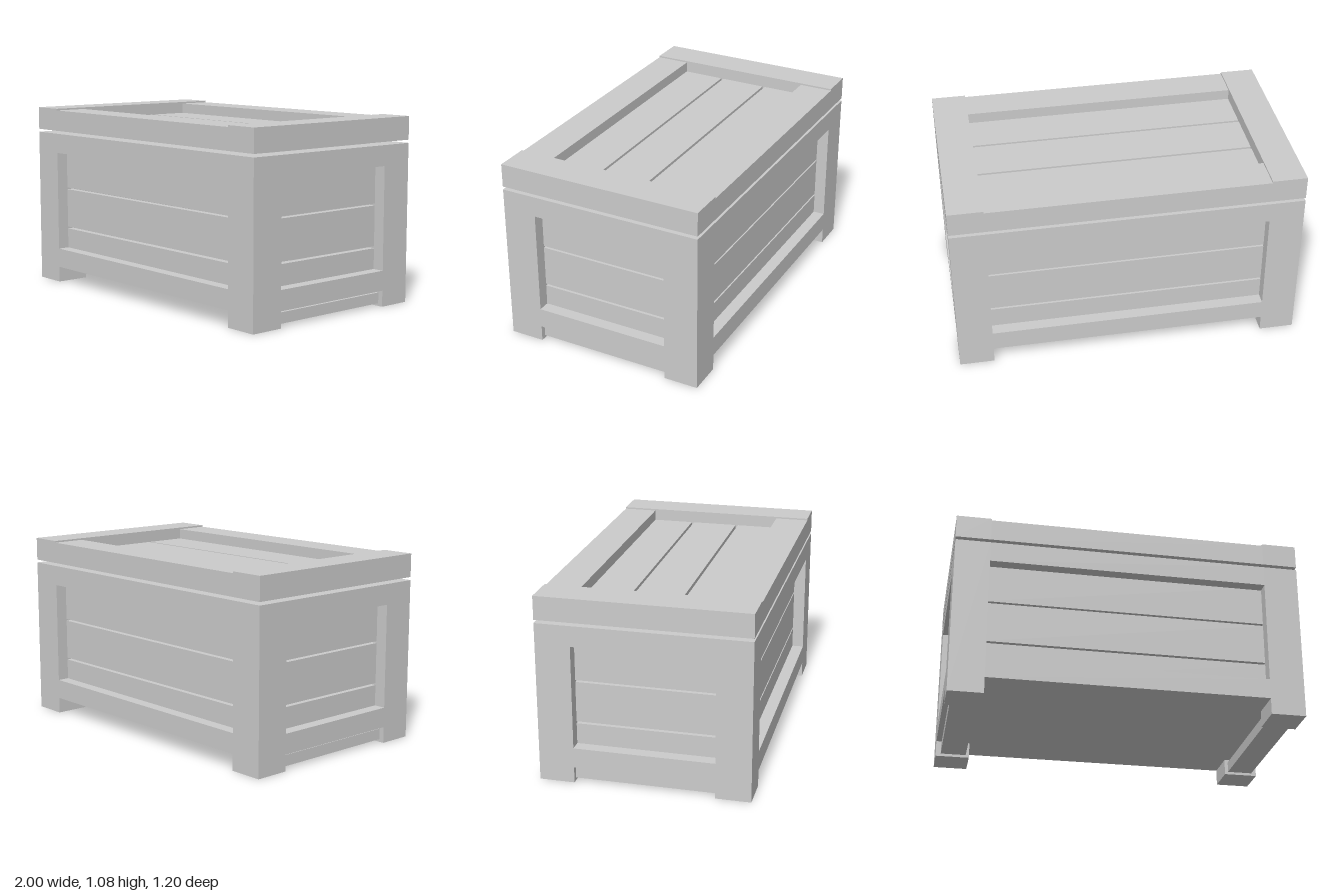
import * as THREE from 'three';

export function createModel() {
  const crate = new THREE.Group();
  crate.name = 'crate';
  const material = new THREE.MeshStandardMaterial({ color: 0xcccccc, flatShading: true });

  // Box given by its extents along each axis
  function board(name, [x0, x1], [y0, y1], [z0, z1], parent) {
    const mesh = new THREE.Mesh(new THREE.BoxGeometry(x1 - x0, y1 - y0, z1 - z0), material);
    mesh.position.set((x0 + x1) / 2, (y0 + y1) / 2, (z0 + z1) / 2);
    mesh.name = name;
    parent.add(mesh);
  }
  // Range mirrored to the chosen side of zero
  const side = (s, a, b) => (s > 0 ? [a, b] : [-b, -a]);

  const body = new THREE.Group();
  body.name = 'body';
  const lid = new THREE.Group();
  lid.name = 'lid';
  crate.add(body, lid);

  const railHeights = [[0.094, 0.21], [0.811, 0.93]];
  const slatHeights = [[0.1, 0.331], [0.343, 0.579], [0.59, 0.83]];

  for (const s of [1, -1]) {
    // Corner posts, which also form the feet
    for (const t of [1, -1]) {
      board('cornerPost', side(s, 0.8, 1), [0, 0.93], side(t, 0.4, 0.6), body);
    }
    // Frame rails along the long and short walls
    for (const y of railHeights) {
      board('longRail', [-0.8, 0.8], y, side(s, 0.48, 0.6), body);
      board('endRail', side(s, 0.88, 1), y, [-0.4, 0.4], body);
    }
    // Recessed wall slats with open gaps between them
    for (const y of slatHeights) {
      board('longSlat', [-0.81, 0.81], y, side(s, 0.49, 0.53), body);
      board('endSlat', side(s, 0.89, 0.93), y, [-0.41, 0.41], body);
    }
    // Runner between the feet at each end
    board('runner', side(s, 0.82, 0.97), [0.016, 0.079], [-0.41, 0.41], body);

    // Lid frame
    board('lidEndBoard', side(s, 0.8, 1), [0.948, 1.084], [-0.6, 0.6], lid);
    board('lidLongBoard', [-0.8, 0.8], [0.948, 1.074], side(s, 0.4, 0.6), lid);
  }

  // Floor
  board('floor', [-0.885, 0.885], [0.094, 0.14], [-0.485, 0.485], body);

  // Recessed lid slats
  for (const z of [[-0.41, -0.155], [-0.14, 0.135], [0.15, 0.41]]) {
    board('lidSlat', [-0.81, 0.81], [0.96, 1.012], z, lid);
  }

  return crate;
}
